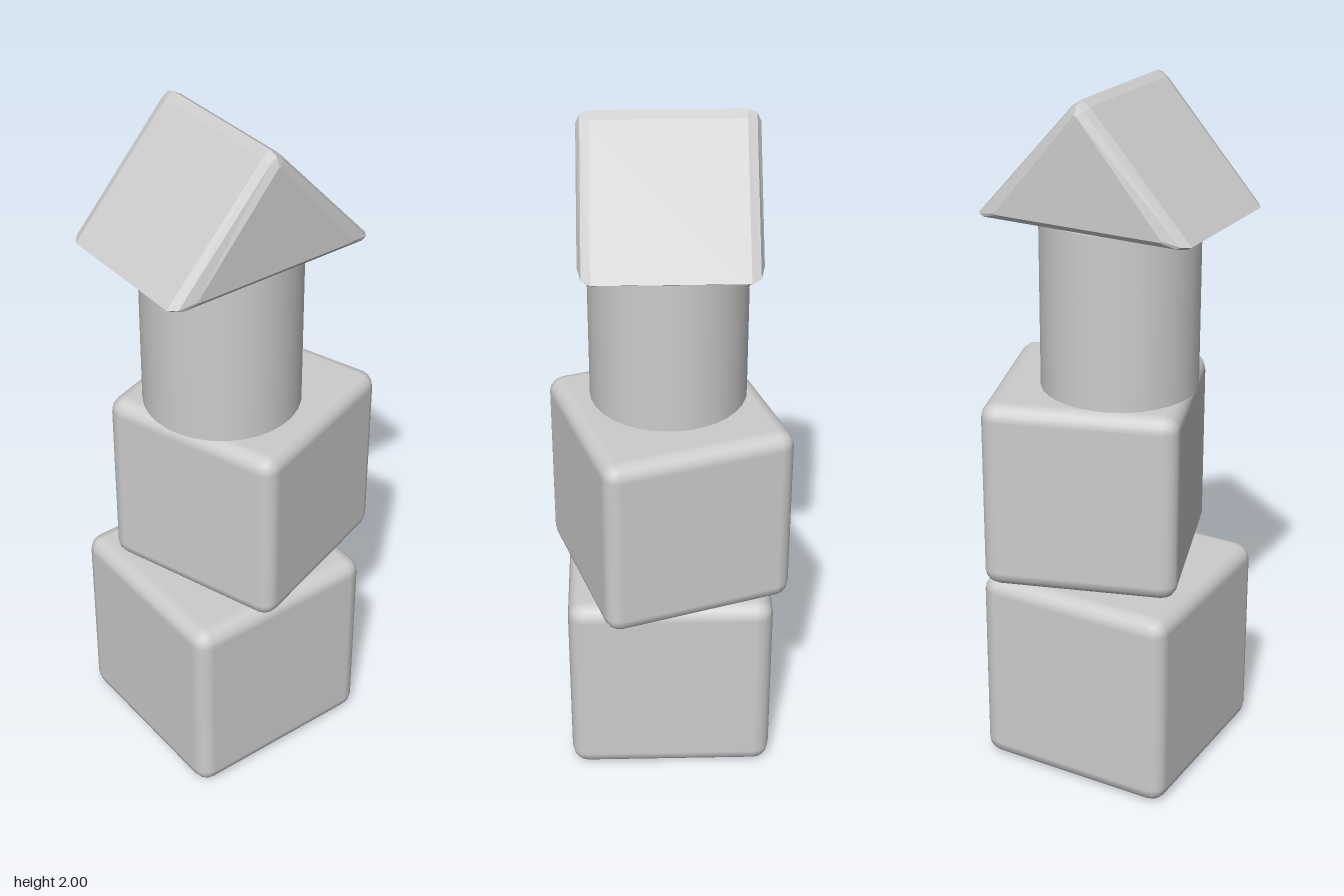
import * as THREE from 'three';
import { RoundedBoxGeometry } from 'three/addons/geometries/RoundedBoxGeometry.js';

const AXIS_X = -0.047;

// Closed outline of the gable block at one depth, counter-clockwise from the front
function gableRing(z, tip, tipY, ridge, ridgeY, topY, base, baseY) {
  return [
    [-base, baseY, z], [base, baseY, z], [tip, tipY, z], [ridge, ridgeY, z],
    [0, topY, z], [-ridge, ridgeY, z], [-tip, tipY, z],
  ];
}

// Triangular prism with bevelled edges, lofted from back to front
function gableGeometry() {
  const half = [
    [0.241, 0.252, 0.024, 0.004, 0.314, 0.316, 0.245, 0.02],
    [0.23, 0.303, 0.013, 0.02, 0.327, 0.341, 0.29, 0.006],
    [0.205, 0.321, 0.009, 0.025, 0.334, 0.35, 0.305, 0],
  ];
  const rings = [
    ...half.map(([z, ...rest]) => gableRing(-z, ...rest)),
    ...half.slice().reverse().map((r) => gableRing(...r)),
  ];
  const n = rings[0].length;
  const positions = [];
  const tri = (a, b, c) => positions.push(...a, ...b, ...c);
  for (let i = 0; i < rings.length - 1; i++) {
    for (let j = 0; j < n; j++) {
      const k = (j + 1) % n;
      const [a, b, c, d] = [rings[i][j], rings[i][k], rings[i + 1][k], rings[i + 1][j]];
      tri(a, b, c);
      tri(a, c, d);
    }
  }
  // End faces
  const back = rings[0];
  const front = rings[rings.length - 1];
  for (let j = 1; j < n - 1; j++) {
    tri(front[0], front[j], front[j + 1]);
    tri(back[0], back[j + 1], back[j]);
  }
  const geometry = new THREE.BufferGeometry();
  geometry.setAttribute('position', new THREE.Float32BufferAttribute(positions, 3));
  geometry.computeVertexNormals();
  return geometry;
}

export function createModel() {
  const group = new THREE.Group();
  group.name = 'blockTower';
  const grey = new THREE.MeshStandardMaterial({ color: 0xcccccc });
  grey.name = 'light grey';

  const add = (name, geometry, x, y, turn = 0) => {
    const mesh = new THREE.Mesh(geometry, grey);
    mesh.name = name;
    mesh.position.set(x, y, 0);
    mesh.rotation.y = turn;
    group.add(mesh);
  };

  // Two stacked cubes, the upper one twisted
  add('lowerCube', new RoundedBoxGeometry(0.596, 0.596, 0.596, 2, 0.048), AXIS_X, 0.298);
  add('upperCube', new RoundedBoxGeometry(0.556, 0.556, 0.556, 2, 0.046), 0.028, 0.879, THREE.MathUtils.degToRad(18.5));

  // Cylinder and gable block on top
  add('cylinderBlock', new THREE.CylinderGeometry(0.223, 0.223, 0.493, 32), AXIS_X, 1.4035);
  add('gableBlock', gableGeometry(), AXIS_X, 1.65);

  return group;
}
